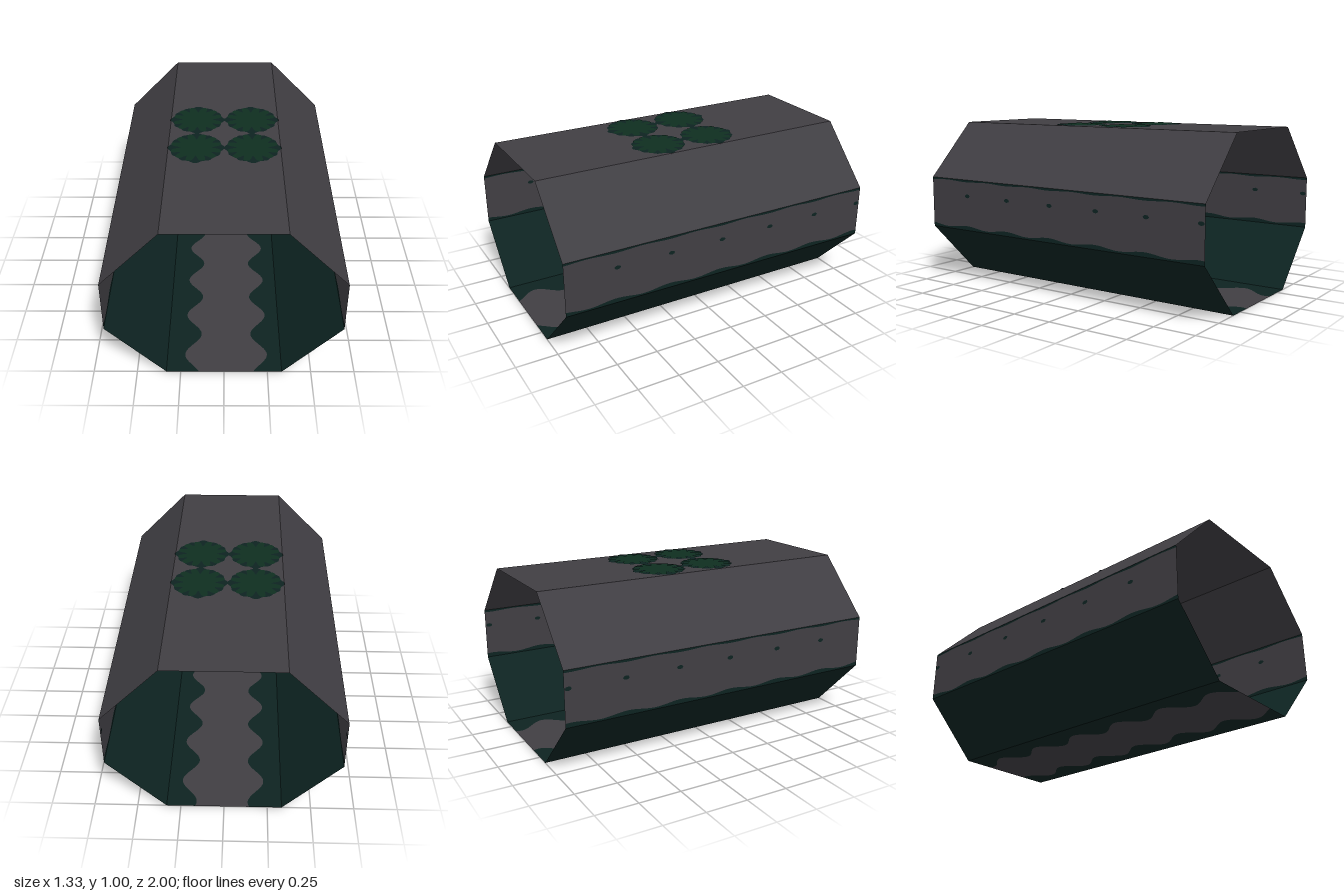
import * as THREE from 'three';

const PERIOD = 1 / 3;
const PHASE = 0.7; // z of the widest point of each border wave

export function createModel() {
  const model = new THREE.Group();
  const paint = (name, color) =>
    new THREE.MeshStandardMaterial({ name, color, side: THREE.DoubleSide });
  const grey = paint('slate grey', 0x403e43);
  const teal = paint('dark teal', 0x0d2321);
  const green = paint('deep green', 0x0e2e20);

  const add = (name, geometry, material) => {
    const mesh = new THREE.Mesh(geometry, material);
    mesh.name = name;
    model.add(mesh);
    return mesh;
  };

  // Octagonal cross-section, counter-clockwise seen from the front
  const ring = [
    [-0.333, 0], [0.333, 0], [0.665, 0.34], [0.665, 0.66],
    [0.333, 1], [-0.333, 1], [-0.665, 0.66], [-0.665, 0.34],
  ];
  const wave = (z) => Math.cos(((z - PHASE) / PERIOD) * Math.PI * 2);

  // A lengthwise strip of panel i, between two edge rules given as fractions of its width
  function strip(name, i, lo, hi, material, steps = 1) {
    const a = ring[i], b = ring[(i + 1) % 8];
    const positions = [], index = [];
    for (let k = 0; k <= steps; k++) {
      const z = -1 + (2 * k) / steps;
      for (const v of [lo(z), hi(z)]) {
        positions.push(a[0] + (b[0] - a[0]) * v, a[1] + (b[1] - a[1]) * v, z);
      }
      if (k < steps) {
        const n = 2 * k;
        index.push(n, n + 1, n + 3, n, n + 3, n + 2);
      }
    }
    const geometry = new THREE.BufferGeometry();
    geometry.setAttribute('position', new THREE.Float32BufferAttribute(positions, 3));
    geometry.setIndex(index);
    geometry.computeVertexNormals();
    return add(name, geometry, material);
  }
  const at = (v) => () => v;

  // Plain panels
  strip('ceiling', 4, at(0), at(1), grey);
  strip('upperSlopeLeft', 3, at(0), at(1), grey);
  strip('upperSlopeRight', 5, at(0), at(1), grey);
  strip('lowerSlopeLeft', 1, at(0), at(1), teal);
  strip('lowerSlopeRight', 7, at(0), at(1), teal);

  // Floor: wavy grey path between teal borders
  const pathStart = (z) => 0.225 + 0.07 * wave(z);
  const pathEnd = (z) => 0.81 - 0.07 * wave(z);
  strip('floorBorderRight', 0, at(0), pathStart, teal, 144);
  strip('floorPath', 0, pathStart, pathEnd, grey, 144);
  strip('floorBorderLeft', 0, pathEnd, at(1), teal, 144);

  // Side walls: wavy teal skirting, grey wall, thin teal trim and a row of small studs
  for (const [side, i] of [['Left', 2], ['Right', 6]]) {
    const up = (f) => (side === 'Left' ? f : (z) => 1 - f(z));
    const band = (name, lo, hi, material) =>
      side === 'Left'
        ? strip(name + side, i, lo, hi, material, 144)
        : strip(name + side, i, up(hi), up(lo), material, 144);
    const skirt = (z) => 0.06 + 0.025 * wave(z);
    const trim = (z) => 0.965 - 0.01 * wave(z);
    band('skirting', at(0), skirt, teal);
    band('wall', skirt, trim, grey);
    band('trim', trim, at(1), teal);

    const sign = side === 'Left' ? 1 : -1;
    for (let k = 0; k < 6; k++) {
      for (const offset of [-0.002, 0.002]) {
        const stud = add('wallStud' + side, new THREE.CircleGeometry(0.02, 8), teal);
        stud.scale.y = 0.6;
        stud.rotation.y = (sign * Math.PI) / 2;
        stud.position.set(sign * (0.665 + offset), 0.558, 0.69 - k * PERIOD);
      }
    }
  }

  // Flat outline from a radius rule
  function flower(radius) {
    const points = [];
    for (let k = 0; k < 144; k++) {
      const t = (k / 144) * Math.PI * 2;
      points.push(new THREE.Vector2(Math.cos(t), Math.sin(t)).multiplyScalar(radius(t)));
    }
    return new THREE.ShapeGeometry(new THREE.Shape(points));
  }
  // Teal backing bulges where neighbours meet; green petals are notched around the rim
  const backing = flower((t) => 0.155 + 0.005 * Math.cos(12 * t) + 0.01 * Math.cos(2 * t) ** 8);
  const petals = flower((t) => 0.156 - 0.05 * Math.abs(Math.cos(6 * t)) ** 5
    - 0.015 * Math.cos(2 * t) ** 10);

  // Four rosettes on the ceiling, showing on both faces
  for (const x of [-0.167, 0.167]) {
    for (const z of [-0.167, 0.167]) {
      for (const face of [1, -1]) {
        const layers = [['rosetteBacking', backing, teal, 0.002], ['rosettePetals', petals, green, 0.004]];
        for (const [name, geometry, material, lift] of layers) {
          const plate = add(name, geometry, material);
          plate.rotation.x = (-face * Math.PI) / 2;
          plate.position.set(x, 1 + face * lift, z);
        }
      }
    }
  }
  return model;
}
